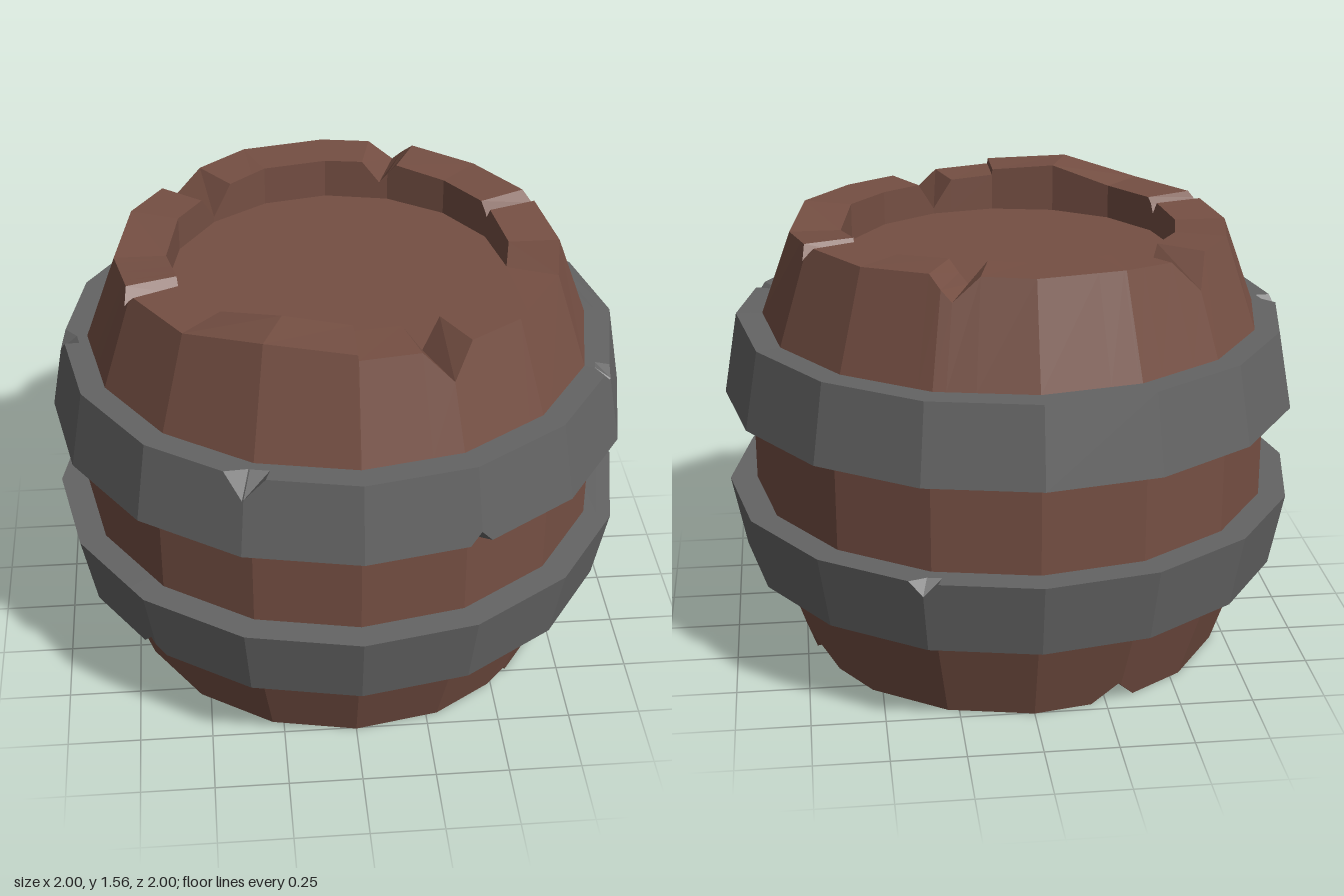
import * as THREE from 'three';

const SIDES = 16, STEP = Math.PI * 2 / SIDES, FULL = Math.PI * 2;

// Angle around the barrel of a point, 0 at the front, growing towards +x
const at = (x, z) => (Math.atan2(x, z) + FULL) % FULL;

// Radius factor that keeps extra points on the flat sides of the polygon
const flat = a => Math.cos(STEP / 2) / Math.cos((a % STEP) - STEP / 2);

// Depth of the V-shaped notches at an angle; each notch is [angle, halfWidth, depth]
const cut = (notches, a) => notches.reduce((m, [c, w, d]) => {
  const off = Math.abs(a - c);
  return Math.max(m, d * (1 - Math.min(off, FULL - off) / w));
}, 0);

// All the angles needed: the regular corners plus those of the notches
function anglesFor(notches, extra = []) {
  const list = [...extra];
  for (let k = 0; k <= SIDES; k++) list.push(k * STEP);
  for (const [c, w] of notches)
    for (const a of [c - w, c, c + w]) list.push((a + FULL) % FULL);
  list.sort((a, b) => a - b);
  return list.filter((a, i) => i === 0 || a - list[i - 1] > 1e-5);
}

// Faceted surface swept round y; profile(angle) gives [radius, y] points
function sweep(name, angles, profile, material) {
  const pos = [];
  const columns = angles.map(a => profile(a).map(([r, y]) => {
    const f = r * flat(a);
    return new THREE.Vector3(Math.sin(a) * f, y, Math.cos(a) * f);
  }));
  const tri = (...pts) => pts.forEach(p => pos.push(p.x, p.y, p.z));
  for (let i = 0; i < columns.length - 1; i++) {
    const A = columns[i], B = columns[i + 1];
    for (let j = 0; j < A.length - 1; j++) {
      if (A[j].distanceTo(B[j]) > 1e-6) tri(A[j], B[j], B[j + 1]);
      if (A[j + 1].distanceTo(B[j + 1]) > 1e-6) tri(A[j], B[j + 1], A[j + 1]);
    }
  }
  const geometry = new THREE.BufferGeometry();
  geometry.setAttribute('position', new THREE.Float32BufferAttribute(pos, 3));
  geometry.computeVertexNormals();
  const mesh = new THREE.Mesh(geometry, material);
  mesh.name = name;
  return mesh;
}

// Wooden body with uneven, notched rims and sunken lids at both ends
function makeBody(material) {
  const rim = [1.52, 1.51, 1.51, 1.52, 1.49, 1.52, 1.52, 1.535, 1.53,
    1.53, 1.51, 1.51, 1.49, 1.51, 1.51, 1.56, 1.54];
  const topNotches = [
    [at(0.29, 0.7), 0.12, 0.1],
    [at(0.25, -0.7), 0.11, 0.08],
    [at(0.67, -0.27), 0.055, 0.05],
    [at(-0.67, 0.25), 0.06, 0.05],
    [at(-0.53, -0.53), 0.13, 0.1],
  ];
  const bottomNotches = [
    [at(0.53, 0.53), 0.07, 0.06],
    [at(0.7, -0.29), 0.13, 0.11],
    [at(-0.28, -0.7), 0.11, 0.08],
    [at(-0.74, 0.11), 0.09, 0.06],
  ];
  const stepAngle = FULL - 0.004; // small broken step in the rim at the front
  const rimHeight = a => {
    if (a > stepAngle + 1e-4) return rim[0];
    const k = Math.min(Math.floor(a / STEP + 1e-6), SIDES - 1);
    return THREE.MathUtils.lerp(rim[k], rim[k + 1], a / STEP - k);
  };
  return sweep('barrelBody', anglesFor([...topNotches, ...bottomNotches], [stepAngle]), a => {
    const up = cut(bottomNotches, a), down = cut(topNotches, a);
    const top = rimHeight(a) - down;
    return [
      [0, 0.11], [0.58, 0.11], [0.58, up], [0.755 + 0.34 * up, up],
      [0.865, 0.33], [0.905, 0.59], [0.905, 0.92], [0.865, 1.19],
      [0.755 + 0.34 * down, top], [0.58, top], [0.58, 1.39], [0, 1.39],
    ];
  }, material);
}

// Metal hoop with chipped upper and lower edges
function makeHoop(name, [y0, r0], [y1, r1], topChips, bottomChips, lift, material) {
  return sweep(name, anglesFor([...topChips, ...bottomChips]), a => {
    const up = cut(bottomChips, a), down = cut(topChips, a);
    const top = y1 + lift * Math.max(0, 1 - Math.abs(a - Math.PI / 2) / STEP);
    const slope = (r1 - r0) / (y1 - y0);
    return [
      [0.85, y0], [r0 - 0.05, y0], [r0 + slope * up, y0 + up],
      [r1 - slope * down, top - down], [r1 - 0.05, top], [0.85, top],
    ];
  }, material);
}

export function createModel() {
  const group = new THREE.Group();
  group.name = 'barrel';
  const wood = new THREE.MeshStandardMaterial({ color: 0x75503f, flatShading: true });
  wood.color.set(0x754f43);
  const metal = new THREE.MeshStandardMaterial({ color: 0x646464, flatShading: true });

  group.add(makeBody(wood));
  group.add(makeHoop('upperHoop', [0.92, 1], [1.19, 0.95],
    [[at(-0.37, 0.88), 0.075, 0.08], [at(-1, 0), 0.05, 0.05], [at(0.88, 0.37), 0.04, 0.035]],
    [[at(0.38, 0.92), 0.04, 0.045]], 0.015, metal));
  group.add(makeHoop('lowerHoop', [0.33, 0.95], [0.59, 1],
    [[at(0.38, -0.92), 0.05, 0.05]],
    [[at(-0.69, 0.66), 0.06, 0.06]], 0, metal));
  return group;
}
